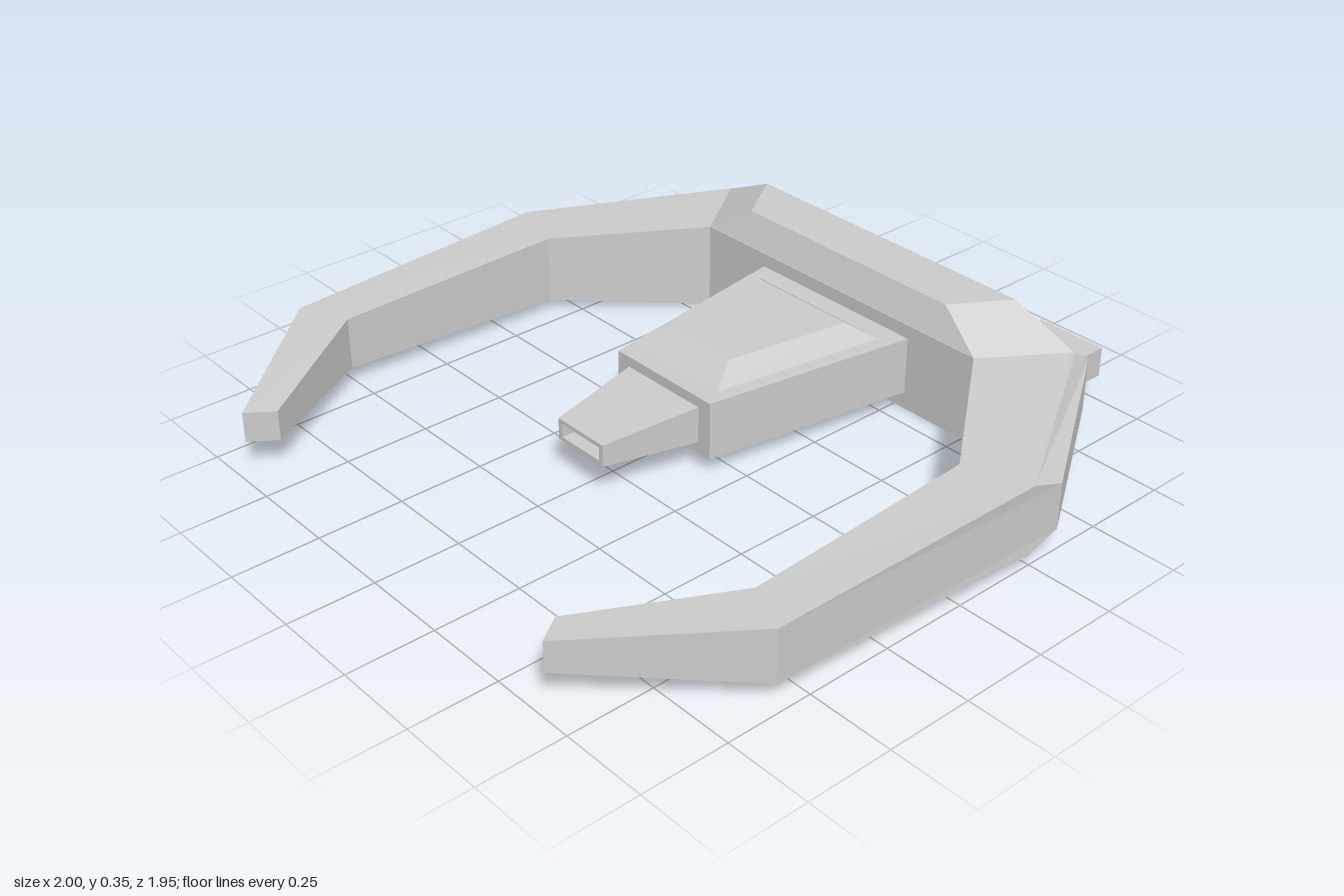
import * as THREE from 'three';

const material = new THREE.MeshStandardMaterial({ color: 0xcccccc, flatShading: true });

// Skin a list of equal-length rings (counterclockwise seen from the far end) and cap both ends.
function loft(name, rings) {
  const positions = [];
  const tri = (a, b, c) => {
    const [A, B, C] = [a, b, c].map((p) => new THREE.Vector3(...p));
    const area = B.clone().sub(A).cross(C.clone().sub(A)).length();
    if (area > 1e-7) positions.push(...a, ...b, ...c);
  };
  const n = rings[0].length;
  for (let r = 0; r < rings.length - 1; r++) {
    const a = rings[r], b = rings[r + 1];
    for (let i = 0; i < n; i++) {
      const j = (i + 1) % n;
      tri(a[i], a[j], b[j]);
      tri(a[i], b[j], b[i]);
    }
  }
  const first = rings[0], last = rings[rings.length - 1];
  for (let i = 1; i < n - 1; i++) {
    tri(first[0], first[i + 1], first[i]);
    tri(last[0], last[i], last[i + 1]);
  }
  const geometry = new THREE.BufferGeometry();
  geometry.setAttribute('position', new THREE.Float32BufferAttribute(positions, 3));
  geometry.computeVertexNormals();
  const mesh = new THREE.Mesh(geometry, material);
  mesh.name = name;
  return mesh;
}

// Horizontal trapezoid ring: half widths at its front and back edges.
const level = (y, xFront, zFront, xBack, zBack) => [
  [-xFront, y, zFront], [xFront, y, zFront], [xBack, y, zBack], [-xBack, y, zBack],
];

// Upright rectangular ring facing +z.
const upright = (z, x, y0, y1) => [[-x, y0, z], [x, y0, z], [x, y1, z], [-x, y1, z]];

// Hull section: inner edge, outer edge, and the chamfered rim outside it.
function hullSection(inner, outer, rim, [y0, y1], [rimY0, rimY1]) {
  return [
    [inner[0], y0, inner[1]], [outer[0], y0, outer[1]],
    [rim[0], rimY0, rim[1]], [rim[0], rimY1, rim[1]],
    [outer[0], y1, outer[1]], [inner[0], y1, inner[1]],
  ];
}

export function createModel() {
  const model = new THREE.Group();
  model.name = 'spacecraft';

  // Horseshoe hull: one loft from arm tip to arm tip
  const half = [
    hullSection([0.52, -0.56], [0.675, -0.79], [0.675, -0.85], [0, 0.26], [0.055, 0.21]),
    hullSection([0.815, -0.18], [1, -0.245], [1, -0.35], [0.03, 0.235], [0.062, 0.197]),
    hullSection([0.83, 0.515], [0.973, 0.58], [0.973, 0.58], [0.055, 0.21], [0.055, 0.21]),
    hullSection([0.583, 0.895], [0.635, 0.97], [0.635, 0.97], [0.09, 0.178], [0.09, 0.178]),
  ];
  const mirrored = half.map((ring) => ring.map(([x, y, z]) => [-x, y, z])).reverse();
  model.add(loft('hull', [...mirrored, ...half]));

  // Raised deck along the rear of the hull
  model.add(loft('rearDeck', [
    level(0.26, 0.52, -0.56, 0.675, -0.785),
    level(0.352, 0.38, -0.595, 0.485, -0.757),
  ]));

  // Central pod and its bevelled canopy
  model.add(loft('pod', [
    level(0.05, 0.185, 0.073, 0.288, -0.58),
    level(0.22, 0.185, 0.073, 0.288, -0.58),
  ]));
  model.add(loft('canopy', [
    level(0.22, 0.152, 0.015, 0.23, -0.5),
    level(0.27, 0.113, -0.058, 0.17, -0.43),
  ]));

  // Tapered nose with a recessed mouth
  model.add(loft('nose', [
    upright(0.06, 0.142, 0.082, 0.191),
    upright(0.355, 0.09, 0.102, 0.166),
    upright(0.355, 0.075, 0.114, 0.154),
    upright(0.2, 0.075, 0.114, 0.154),
  ]));

  // Hollow rectangular engine outlets at the rear
  for (const [name, side] of [['leftEngine', 1], ['rightEngine', -1]]) {
    const engine = loft(name, [
      upright(0.83, 0.108, 0.09, 0.178),
      upright(0.98, 0.108, 0.09, 0.178),
      upright(0.98, 0.083, 0.106, 0.162),
      upright(0.86, 0.083, 0.106, 0.162),
    ]);
    engine.rotation.y = Math.PI;
    engine.position.x = side * 0.514;
    model.add(engine);
  }

  return model;
}
